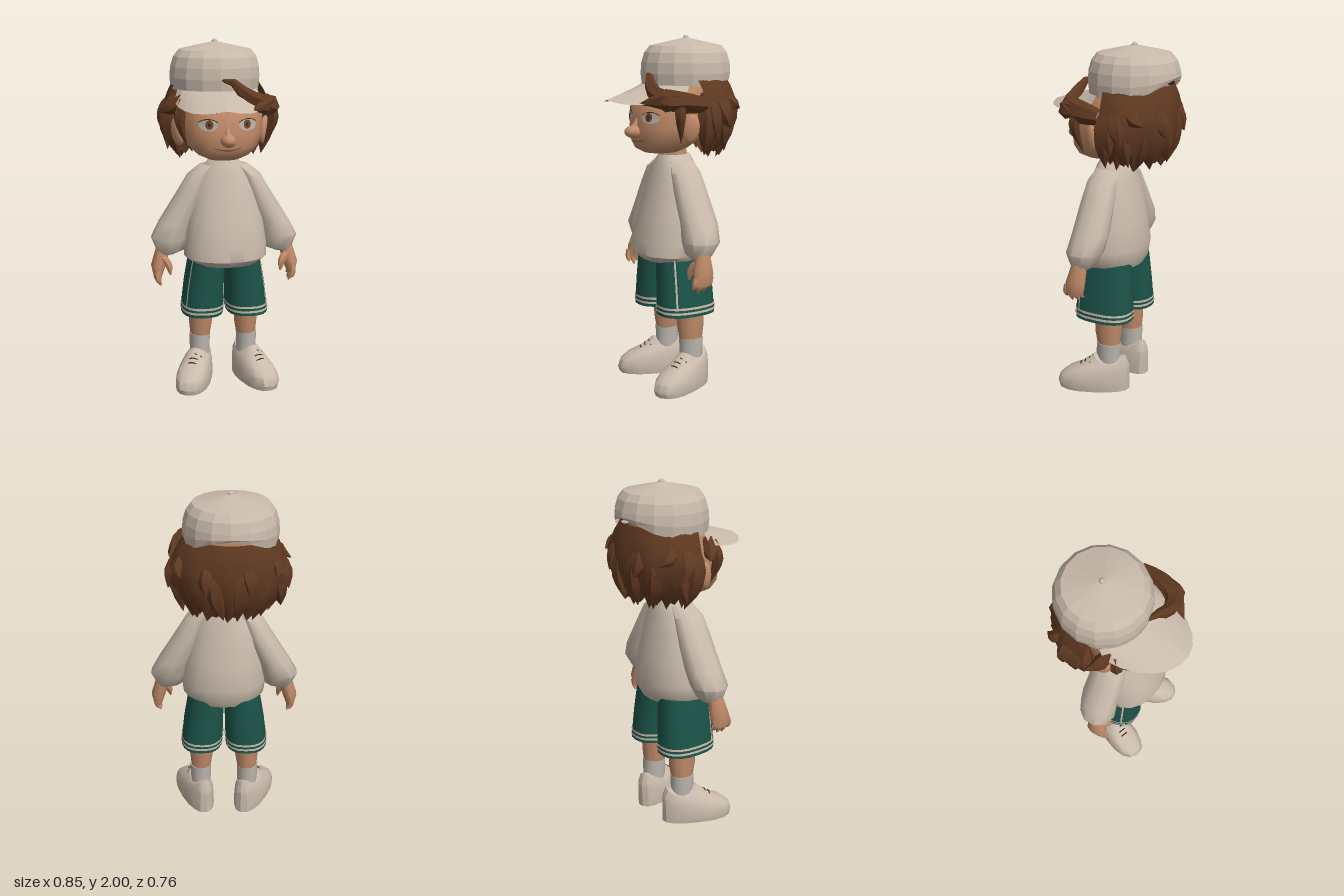
import * as THREE from 'three';
import { toCreasedNormals } from 'three/addons/utils/BufferGeometryUtils.js';

const mat = (name, color, side = THREE.FrontSide) => new THREE.MeshStandardMaterial({ name, color, side });
const cream = mat('cream cloth', 0xc9baab, THREE.DoubleSide);
const skin = mat('skin', 0xc08a68);
const brown = mat('brown hair', 0x5f3921, THREE.DoubleSide);
const green = mat('green cloth', 0x1b5348);
const grey = mat('grey sock', 0xbab4ac);
const white = mat('eye white', 0xb9b2a8);
const amber = mat('iris', 0x74432a);
const dark = mat('dark line', 0x3f281c);
const lip = mat('lip', 0x8a5540);

const V = (x, y, z) => new THREE.Vector3(x, y, z);
const spow = (v, p) => Math.sign(v) * Math.abs(v) ** p;
const rad = THREE.MathUtils.degToRad;

// Skin over rings of points, optionally closed with end fans
function grid(rings, caps, crease) {
  const m = rings[0].length, pos = rings.flat(), idx = [];
  for (let j = 0; j < rings.length - 1; j++) for (let i = 0; i < m - 1; i++) {
    const a = j * m + i, c = a + m;
    idx.push(a, a + 1, c + 1, a, c + 1, c);
  }
  if (caps) for (const j of [0, rings.length - 1]) {
    const mid = V(0, 0, 0);
    rings[j].slice(1).forEach((q) => mid.addScaledVector(q, 1 / (m - 1)));
    const k = pos.push(mid) - 1;
    for (let i = j * m; i < j * m + m - 1; i++) j ? idx.push(k, i, i + 1) : idx.push(k, i + 1, i);
  }
  const g = new THREE.BufferGeometry().setFromPoints(pos);
  g.setIndex(idx);
  return toCreasedNormals(g, crease);
}

// Rows run upward: [y, centreX, radiusX, frontZ, backZ]
function loft(rows, { n = 16, p = 1, arc = [0, Math.PI * 2], caps = true, crease = 0.9, warp } = {}) {
  const rings = rows.map(([y, cx, rx, zf, zb], j) => Array.from({ length: n + 1 }, (_, i) => {
    const a = arc[0] + (arc[1] - arc[0]) * i / n;
    const v = V(cx + rx * spow(Math.sin(a), p), y, (zf + zb) / 2 + (zf - zb) / 2 * spow(Math.cos(a), p));
    if (warp) warp(v, a, j, i);
    return v;
  }));
  return grid(rings, caps, crease);
}

// Tapered tube through points, with radii spread evenly along it
function taper(pts, radii, { n = 6, seg = 8, crease = 0.9 } = {}) {
  const curve = new THREE.CatmullRomCurve3(pts.map((q) => V(...q)));
  const g = new THREE.TubeGeometry(curve, seg, 1, n), pos = g.attributes.position, v = V(0, 0, 0);
  for (let k = 0; k < pos.count; k++) {
    const t = Math.floor(k / (n + 1)) / seg, c = curve.getPointAt(t);
    const f = t * (radii.length - 1), i = Math.min(Math.floor(f), radii.length - 2);
    v.fromBufferAttribute(pos, k).sub(c).multiplyScalar(THREE.MathUtils.lerp(radii[i], radii[i + 1], f - i)).add(c);
    pos.setXYZ(k, v.x, v.y, v.z);
  }
  return toCreasedNormals(g, crease);
}

function rowAt(rows, y) {
  let j = 0;
  while (j < rows.length - 2 && rows[j + 1][0] < y) j++;
  const t = (y - rows[j][0]) / (rows[j + 1][0] - rows[j][0]);
  return rows[j].map((v, k) => v + (rows[j + 1][k] - v) * t);
}

const HEAD = [
  [1.355, -0.015, 0.09, 0.165, -0.03], [1.38, -0.015, 0.145, 0.21, -0.08], [1.43, -0.015, 0.2, 0.228, -0.15],
  [1.5, -0.015, 0.225, 0.228, -0.2], [1.64, -0.015, 0.23, 0.215, -0.24], [1.71, -0.025, 0.22, 0.135, -0.27],
  [1.8, -0.035, 0.2, 0.08, -0.25]];
const HP = 0.9;
function faceZ(x, y) {
  const [, cx, rx, zf, zb] = rowAt(HEAD, y);
  const u = Math.min(Math.abs((x - cx) / rx), 1);
  return (zf + zb) / 2 + (zf - zb) / 2 * (1 - u ** (2 / HP)) ** (HP / 2);
}
// Line on the face, bending by the given amount at its ends
const faceLine = (cx, cy, half, bend, radii) => taper([-1, -0.5, 0, 0.5, 1].map((t) => {
  const x = cx + half * t, y = cy + bend * t * t;
  return [x, y, faceZ(x, y) + 0.002];
}), radii);
function decal(cx, cy, rx, ry, off) {
  const g = new THREE.CircleGeometry(1, 20), pos = g.attributes.position;
  for (let k = 0; k < pos.count; k++) {
    const x = cx + pos.getX(k) * rx, y = cy + pos.getY(k) * ry;
    pos.setXYZ(k, x, y, faceZ(x, y) + off);
  }
  g.computeVertexNormals();
  return g;
}

function add(parent, name, geo, material) {
  const mesh = new THREE.Mesh(geo, material);
  mesh.name = name;
  parent.add(mesh);
  return mesh;
}
function group(parent, name) {
  const g = new THREE.Group();
  g.name = name;
  parent.add(g);
  return g;
}

function buildHead(root) {
  const head = group(root, 'headGroup');
  add(head, 'head', loft(HEAD, { n: 32, p: HP }), skin);
  add(head, 'neck', loft([[1.26, 0, 0.08, 0.075, -0.09], [1.42, -0.01, 0.075, 0.08, -0.08]]), skin);
  const nose = add(head, 'nose', new THREE.SphereGeometry(1, 12, 8), skin);
  nose.scale.set(0.043, 0.036, 0.06);
  nose.position.set(-0.01, 1.475, 0.237);
  add(head, 'noseBridge', taper([[-0.01, 1.56, 0.212], [-0.01, 1.52, 0.227], [-0.01, 1.475, 0.255]], [0.008, 0.016, 0.026], { n: 10 }), skin);
  add(head, 'mouth', faceLine(-0.01, 1.422, 0.078, 0.012, [0.002, 0.007, 0.002]), lip);
  for (const s of [-1, 1]) {
    const ex = -0.006 + s * 0.108, ix = ex - s * 0.004;
    add(head, 'eyeWhite', decal(ex, 1.557, 0.05, 0.031, 0.005), white);
    add(head, 'iris', decal(ix, 1.56, 0.021, 0.025, 0.007), amber);
    add(head, 'pupil', decal(ix, 1.56, 0.008, 0.01, 0.009), dark);
    add(head, 'lash', faceLine(ex, 1.588, 0.05, -0.015, [0.002, 0.004, 0.002]), dark);
    add(head, 'eyebrow', faceLine(ex, 1.63, 0.05, -0.004, [0.007, 0.01, 0.007]), brown);
    const ear = add(head, 'ear', new THREE.SphereGeometry(1, 12, 8), skin);
    ear.scale.set(0.028, 0.08, 0.05);
    ear.position.set(-0.018 + s * 0.245, 1.5, 0.015);
    ear.rotation.set(-0.2, s * -0.5, s * -0.15);
  }
}

// Faceted crown raised at the back, curved brim, button
function buildCap(root) {
  const cap = group(root, 'cap'), CX = -0.037, CZ = -0.108;
  const crown = [[1.725, 0.25], [1.79, 0.257], [1.85, 0.252], [1.905, 0.235], [1.942, 0.205], [1.987, 0.001]];
  add(cap, 'crown', loft(crown.map(([y, r]) => [y, CX, r, CZ + r, CZ - r]), {
    caps: false, crease: 0.05,
    warp: (v, a, j) => { if (j < 2) v.y += (j ? 0.035 : 0.09) * Math.max(0, -Math.cos(a)) ** 3; },
  }), cream);
  add(cap, 'button', new THREE.SphereGeometry(0.018, 8, 6), cream).position.set(CX, 1.982, CZ);
  const brimRow = (t) => Array.from({ length: 13 }, (_, i) => {
    const e = i / 6 - 1, a = e * 1.48, b = a * 0.75;
    return V(CX + 0.25 * Math.sin(b), 1.73, CZ + 0.25 * Math.cos(b))
      .lerp(V(CX + 0.245 * Math.sin(a), 1.654 - 0.022 * Math.sin(Math.PI * Math.abs(e)) + 0.01 * e ** 4, 0.39 * Math.cos(a)), t);
  });
  add(cap, 'brim', grid([1, 0.5, 0].map(brimRow), false, 0.3), cream);
}

// Full shell around the back plus pointed locks
function buildHair(root) {
  const hair = group(root, 'hair');
  add(hair, 'hairShell', loft([
    [1.43, -0.02, 0.15, 0.02, -0.2], [1.36, -0.02, 0.21, 0.04, -0.285], [1.44, -0.02, 0.272, 0.08, -0.335],
    [1.54, -0.02, 0.312, 0.1, -0.36], [1.63, -0.022, 0.312, 0.11, -0.362], [1.72, -0.03, 0.27, 0.12, -0.35],
    [1.78, -0.037, 0.235, 0.12, -0.325]], {
    n: 28, arc: [rad(74), rad(286)], caps: false, crease: 0.8,
    warp: (v, a, j, i) => {
      if (j && j < 5) { const k = 1 + 0.025 * Math.sin(i * 1.3 + j * 0.7); v.x *= k; v.z *= k; }
      if (j === 1) v.y += [0, 0.03, -0.025, 0.01][i % 4];
    },
  }), brown);
  const lock = (pts, radii) => add(hair, 'lock', taper(pts, radii, { crease: 0.8 }), brown);
  // Lock hanging from the cap edge at an angle round the head
  const strand = (a, turn, r, y, width) => {
    const at = (q, h, b) => [-0.025 + q * Math.sin(b), h, -0.09 + 0.85 * q * Math.cos(b)];
    lock([at(0.24, 1.69, a), at(0.275, 1.69 + (y - 1.69) * 0.35, a), at((r + 0.285) / 2, 1.69 + (y - 1.69) * 0.7, a + turn / 3),
      at(r, y, a + turn)], [0.02, width, width * 0.9, 0.001]);
  };
  for (let i = 0; i < 8; i++) {
    const w = Math.sin(i * 2.4);
    strand(rad(85 + 27 * i), 0.2 * w, 0.25 + 0.04 * w, 1.35 + 0.025 * w, 0.055);
  }
  for (const s of [-1, 1]) {
    lock([[s * 0.235, 1.68, 0.08], [s * 0.26, 1.58, 0.1], [s * 0.215, 1.42, 0.07]], [0.025, 0.036, 0.02, 0.001]);
    strand(s * 1.62, s * 0.1, 0.3, 1.43, 0.055);
    strand(s * 1.85, s * 0.1, 0.345, 1.5, 0.06);
    strand(s * 2.1, s * 0.25, 0.355, 1.6, 0.04);
    strand(s * 2.75, s * 0.05, 0.345, 1.52, 0.05);
  }
  // Flick on the right and broad fringe swept over the brim on the left
  lock([[-0.23, 1.69, 0.05], [-0.3, 1.63, 0.02], [-0.365, 1.605, -0.03]], [0.03, 0.04, 0.001]);
  lock([[-0.03, 1.79, 0.14], [0.02, 1.785, 0.16], [0.09, 1.72, 0.185], [0.17, 1.675, 0.18], [0.23, 1.65, 0.1], [0.26, 1.63, -0.06]],
    [0.008, 0.03, 0.042, 0.06, 0.062, 0.04]);
  lock([[0.26, 1.66, 0.02], [0.21, 1.66, 0.15], [0.12, 1.64, 0.275]], [0.03, 0.06, 0.001]);
  lock([[0.14, 1.68, 0.17], [0.22, 1.65, 0.16], [0.295, 1.635, 0.085]], [0.02, 0.055, 0.002]);
}

function buildArm(root, side, s) {
  add(root, 'sleeve', loft(side([
    [0.8, 0.335, 0.05, 0.07, -0.035], [0.82, 0.315, 0.08, 0.09, -0.06], [0.89, 0.318, 0.107, 0.11, -0.1],
    [0.98, 0.282, 0.095, 0.1, -0.115], [1.15, 0.19, 0.08, 0.095, -0.105], [1.25, 0.14, 0.07, 0.085, -0.095],
    [1.305, 0.085, 0.055, 0.06, -0.08]]), { n: 10 }), cream);
  const hand = group(root, 'hand');
  add(hand, 'palm', loft(side([[0.66, 0.39, 0.022, 0.09, -0.02], [0.73, 0.385, 0.042, 0.088, -0.032], [0.83, 0.355, 0.042, 0.062, -0.025]]),
    { n: 10 }), skin);
  for (let f = 0; f < 4; f++) {
    const z = 0.077 - f * 0.03, tip = 0.635 - 0.02 * Math.sin(f * 1.2);
    add(hand, 'finger', taper([[s * 0.39, 0.71, z], [s * 0.39, 0.665, z + 0.008], [s * 0.372, tip, z + 0.012 - f * 0.005]],
      [0.018, 0.019, 0.016, 0.004]), skin);
  }
  add(hand, 'thumb', taper([[s * 0.37, 0.79, 0.045], [s * 0.33, 0.745, 0.07], [s * 0.318, 0.685, 0.08]],
    [0.024, 0.024, 0.02, 0.005]), skin);
}

function buildLeg(root, side, s) {
  // Shorts with hem bands and a side stripe
  const shorts = side([[0.44, 0.131, 0.122, 0.158, -0.183], [0.6, 0.12, 0.115, 0.155, -0.175], [0.78, 0.1, 0.105, 0.15, -0.165]]);
  const band = (y) => rowAt(shorts, y).map((v, k) => v + [0, 0, 1, 1, -1][k] * 0.004);
  const shape = { n: 20, p: 0.8 }, mid = s * rad(54);
  add(root, 'shortsLeg', loft(shorts, shape), green);
  for (const y of [0.458, 0.484]) add(root, 'hemStripe', loft([y, y + 0.013].map(band), { ...shape, caps: false }), cream);
  add(root, 'sideStripe', loft([0.49, 0.6, 0.77].map(band), { n: 1, p: 0.8, arc: [mid - 0.04, mid + 0.04], caps: false }), cream);

  add(root, 'leg', loft(side([[0.25, 0.138, 0.055, 0.02, -0.108], [0.35, 0.135, 0.068, 0.038, -0.12], [0.5, 0.132, 0.072, 0.045, -0.125]]),
    { n: 12 }), skin);
  add(root, 'sock', loft(side([[0.13, 0.14, 0.058, 0.025, -0.112], [0.285, 0.14, 0.062, 0.027, -0.115]]), { n: 12 }), grey);

  // Shoe turned outward, wider at the toe, with a raised tongue and heel
  const shoe = group(root, 'shoe');
  shoe.position.set(s * 0.15, 0, -0.035);
  shoe.rotation.y = s * 0.36;
  const upper = [[0, 0.096, 0.278], [0.03, 0.102, 0.288], [0.075, 0.1, 0.274], [0.115, 0.092, 0.225], [0.15, 0.08, 0.145], [0.195, 0.066, 0.075]];
  add(shoe, 'shoeUpper', loft(upper.map(([y, r, zf]) => [y, 0, r, zf, -0.135 + 0.5 * Math.max(0, y - 0.15)]), {
    p: 0.85, crease: 0.6,
    warp: (v, a, j) => {
      v.x *= 0.86 + 0.6 * THREE.MathUtils.clamp(v.z + 0.05, -0.08, 0.25);
      if (j === 5) v.y += 0.022 * Math.cos(2 * a) - 0.006;
    },
  }), cream);
  for (let i = 0; i < 3; i++) {
    const z = 0.099 + i * 0.026, y = 0.186 - i * 0.0172;
    add(shoe, 'lace', taper([-1, 0, 1].map((t) => [t * 0.045, y - 0.02 * t * t, z - 0.008 * t * t]), [0.004, 0.004], { n: 4 }), dark);
  }
}

export function createModel() {
  const root = new THREE.Group();
  buildHead(root);
  buildCap(root);
  buildHair(root);
  add(root, 'sweaterBody', loft([
    [0.745, 0.005, 0.19, 0.185, -0.17], [0.785, 0.003, 0.238, 0.228, -0.19], [0.86, 0.003, 0.24, 0.222, -0.203],
    [1, 0.003, 0.22, 0.185, -0.183], [1.15, 0, 0.185, 0.142, -0.155], [1.25, 0, 0.15, 0.112, -0.13],
    [1.31, 0, 0.105, 0.092, -0.115], [1.34, 0, 0.078, 0.078, -0.1]], { n: 20, p: 0.9 }), cream);
  for (const s of [-1, 1]) {
    const side = (rows) => rows.map(([y, cx, ...r]) => [y, cx * s, ...r]);
    buildArm(root, side, s);
    buildLeg(root, side, s);
  }
  return root;
}
